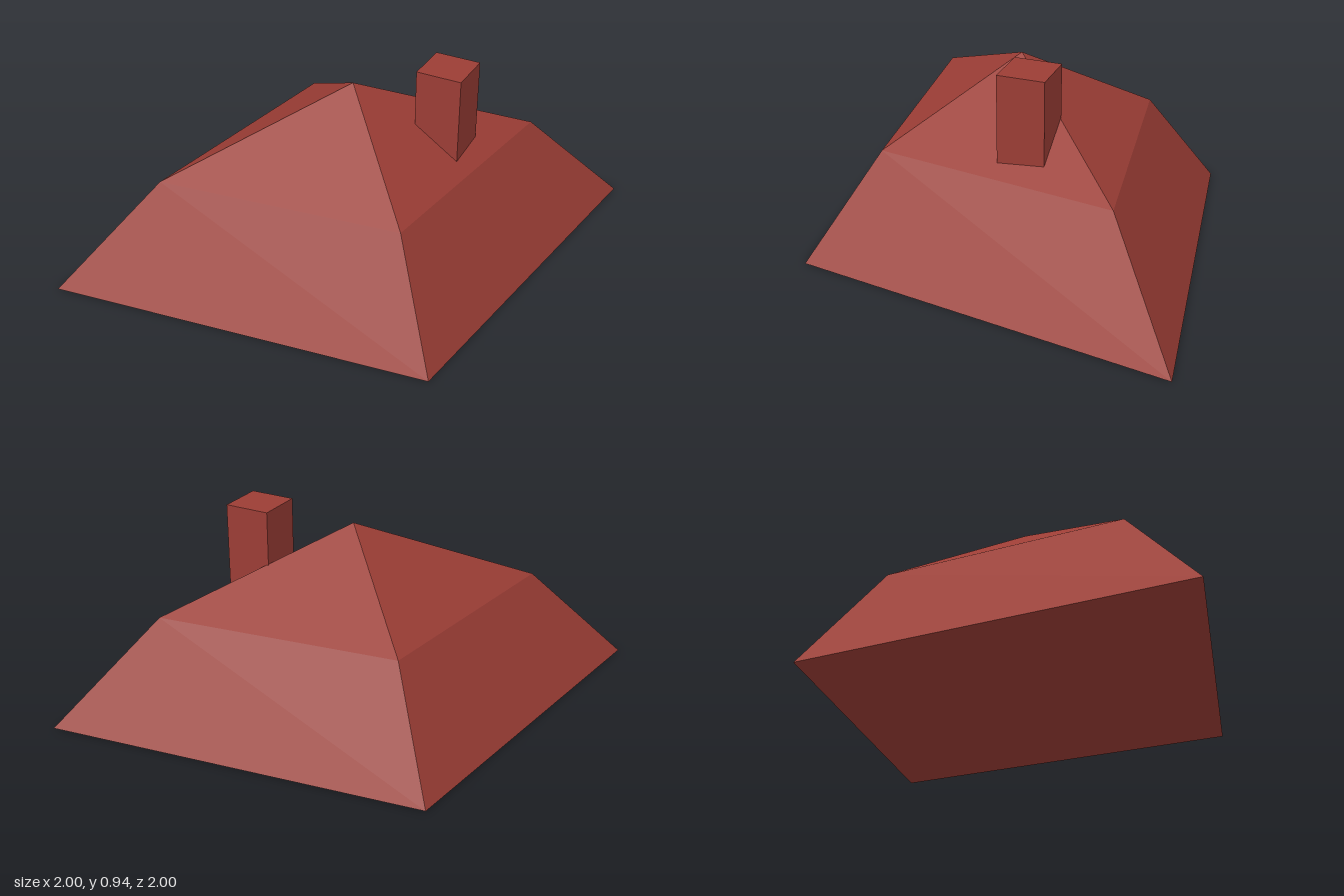
import * as THREE from 'three';

export function createModel() {
  const group = new THREE.Group();
  const brickRed = new THREE.MeshStandardMaterial({ color: 0x9b3d35 });
  brickRed.name = 'brickRed';

  // Two-pitch roof: four-sided lathe, stretched to a diamond plan and closed below
  const profile = [[0, 0], [1, 0], [0.638, 0.49], [0, 0.85]].map(([r, y]) => new THREE.Vector2(r, y));
  const roofGeometry = new THREE.LatheGeometry(profile, 4)
    .scale(Math.SQRT2, 1, 0.757 * Math.SQRT2)
    .rotateY(Math.PI / 4)
    .toNonIndexed();
  roofGeometry.computeVertexNormals();
  const roof = new THREE.Mesh(roofGeometry, brickRed);
  roof.name = 'roof';
  group.add(roof);

  // Square chimney sunk into the slope
  const chimney = new THREE.Mesh(new THREE.BoxGeometry(0.214, 0.44, 0.214), brickRed);
  chimney.name = 'chimney';
  chimney.position.set(0.385, 0.72, -0.18);
  group.add(chimney);

  return group;
}
